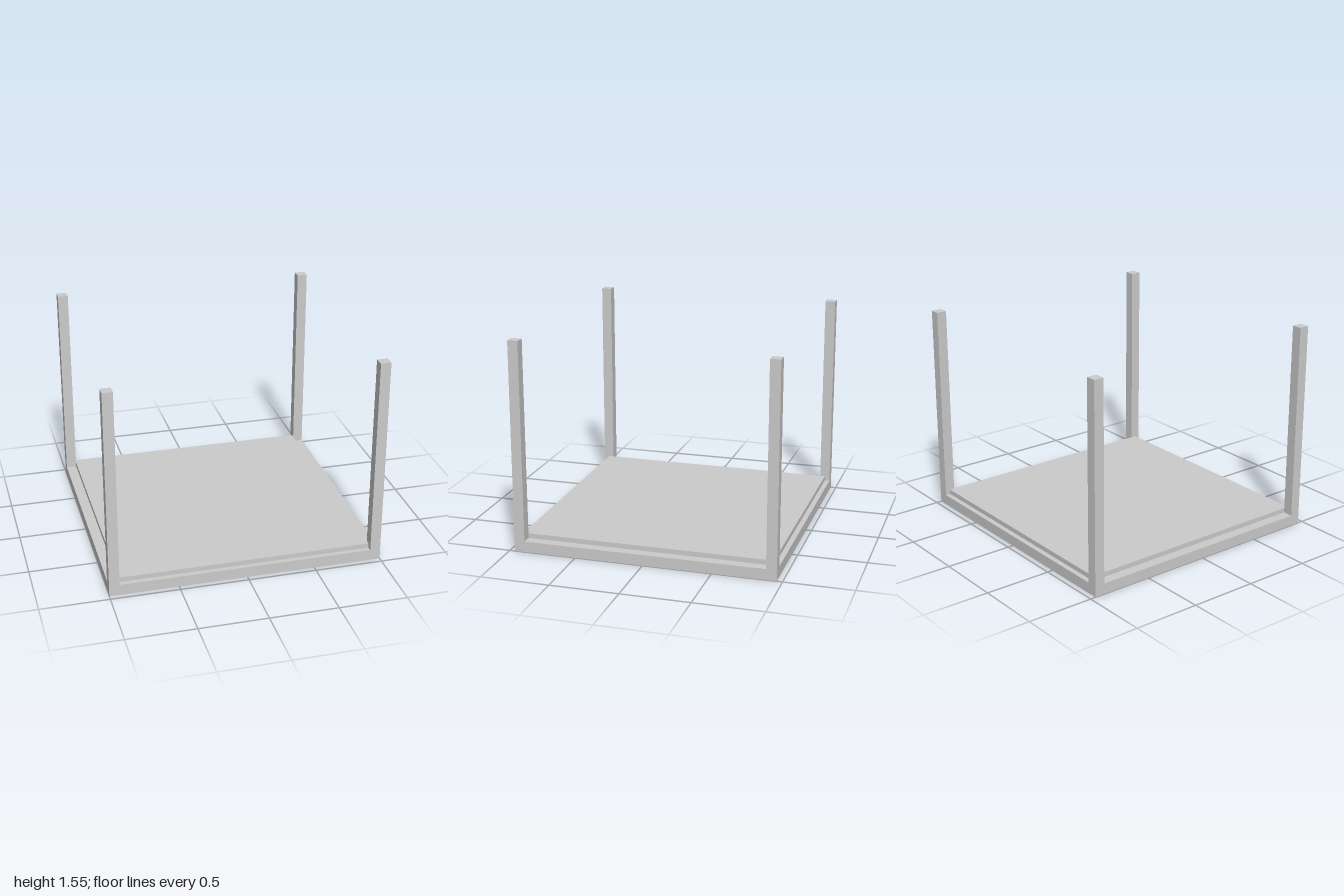
import * as THREE from 'three';

const W = 2, D = 1.92, H = 1.55; // overall size
const BAR = 0.076;               // square bar thickness
const RAIL_H = 0.08;             // base frame height

export function createModel() {
  const group = new THREE.Group();
  const material = new THREE.MeshStandardMaterial({ color: 0xcccccc, flatShading: true });

  const addBox = (name, w, h, d, x, bottom, z) => {
    const mesh = new THREE.Mesh(new THREE.BoxGeometry(w, h, d), material);
    mesh.name = name;
    mesh.position.set(x, bottom + h / 2, z);
    group.add(mesh);
  };

  const px = (W - BAR) / 2, pz = (D - BAR) / 2;

  // Four corner posts
  for (const [sideName, sx] of [['Left', 1], ['Right', -1]])
    for (const [endName, sz] of [['front', 1], ['back', -1]])
      addBox(`${endName}${sideName}Post`, BAR, H, BAR, sx * px, 0, sz * pz);

  // Base rails between the posts
  for (const s of [1, -1]) {
    addBox(s > 0 ? 'frontRail' : 'backRail', W - 2 * BAR, RAIL_H, BAR, 0, 0, s * pz);
    addBox(s > 0 ? 'leftRail' : 'rightRail', BAR, RAIL_H, D - 2 * BAR, s * px, 0, 0);
  }

  // Panel resting on the rails
  addBox('panel', W - 2 * BAR, 0.036, 1.845, 0, RAIL_H, 0);

  return group;
}
